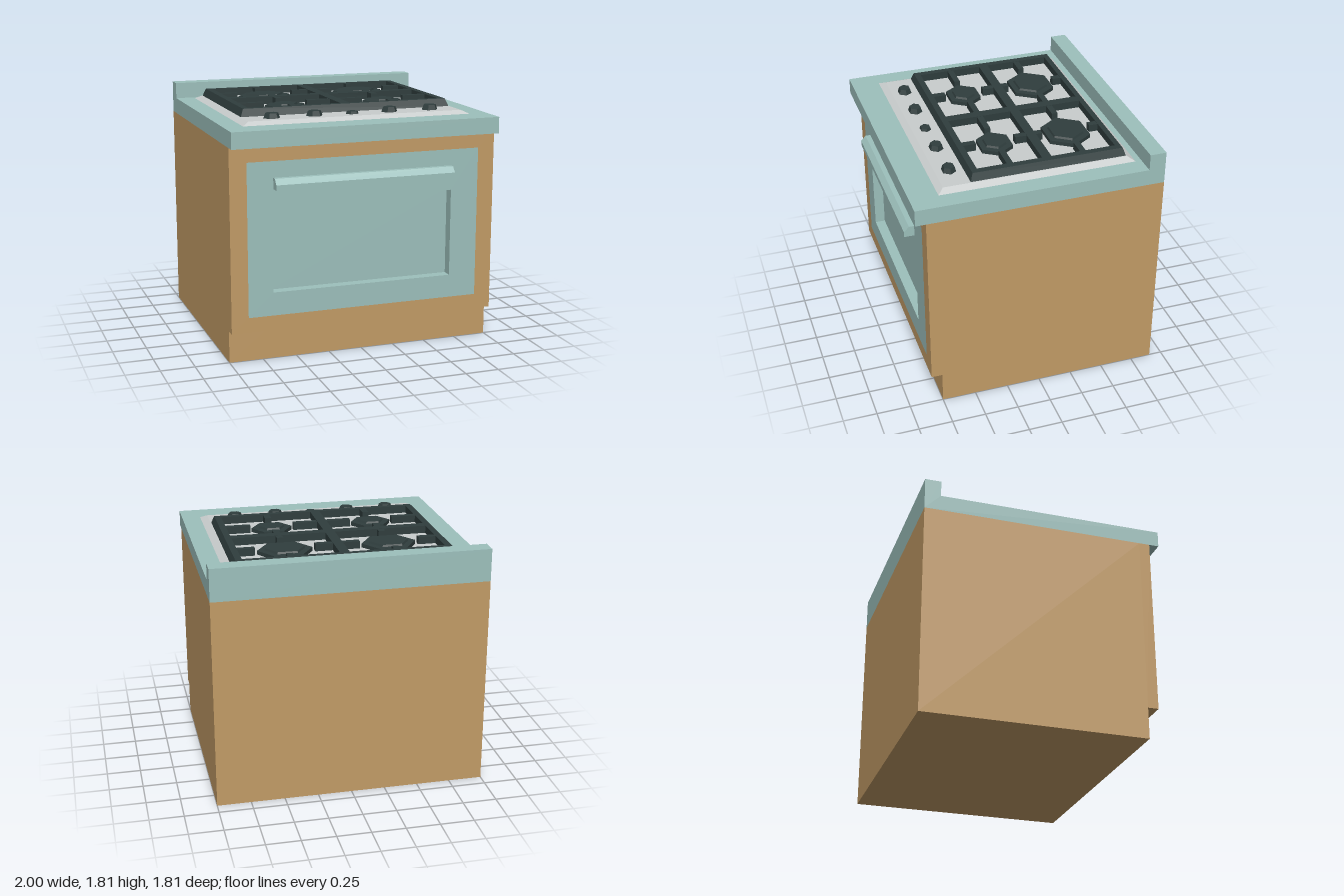
import * as THREE from 'three';

const material = (name, color) => {
  const m = new THREE.MeshStandardMaterial({ color });
  m.name = name;
  return m;
};

export function createModel() {
  const teal = material('teal enamel', 0x9dc0bc);
  const wood = material('wood', 0xc29b66);
  const steel = material('light steel', 0xc9cdcd);
  const iron = material('dark iron', 0x2f3d3d);
  const group = new THREE.Group();

  const add = (name, geometry, mat) => {
    const mesh = new THREE.Mesh(geometry, mat);
    mesh.name = name;
    group.add(mesh);
    return mesh;
  };
  // Box given by its limits
  const box = (name, mat, x0, x1, y0, y1, z0, z1) =>
    add(name, new THREE.BoxGeometry(x1 - x0, y1 - y0, z1 - z0), mat)
      .position.set((x0 + x1) / 2, (y0 + y1) / 2, (z0 + z1) / 2);
  const rect = (x0, x1, y0, y1) => [[x0, y0], [x1, y0], [x1, y1], [x0, y1]]
    .map(([x, y]) => new THREE.Vector2(x, y));
  const plate = (outer, holes, depth) => {
    const shape = new THREE.Shape(outer);
    holes.forEach(h => shape.holes.push(new THREE.Path(h)));
    return new THREE.ExtrudeGeometry(shape, { depth, bevelEnabled: false });
  };
  // Side profile of [z, y] points, swept from x0 to x1
  const sweep = (profile, x0, x1) =>
    plate(profile.map(([z, y]) => new THREE.Vector2(z, y)), [], x1 - x0)
      .rotateY(-Math.PI / 2).translate(x1, 0, 0);
  // Six-sided tapered cap, slightly squashed in depth
  const hex = (name, x, z, y0, y1, bottom, top) => {
    const g = new THREE.CylinderGeometry(top, bottom, y1 - y0, 6, 1, false, Math.PI / 2)
      .scale(1, 1, 0.87).toNonIndexed();
    g.computeVertexNormals();
    add(name, g, iron).position.set(x, (y0 + y1) / 2, z);
  };

  // Cabinet with toe kick, and a front frame around the oven door
  box('cabinetBody', wood, -1, 1, 0, 1.57, -0.905, 0.75);
  const door = rect(-0.875, 0.875, 0.345, 1.46);
  add('cabinetFront', plate(rect(-1, 1, 0.235, 1.57), [door], 0.08).translate(0, 0, 0.75), wood);

  // Oven door with a recessed panel and a chamfered handle
  add('ovenDoor', plate(door, [rect(-0.69, 0.665, 0.515, 1.16)], 0.08).translate(0, 0, 0.75), teal);
  box('ovenDoorPanel', teal, -0.69, 0.665, 0.515, 1.16, 0.748, 0.754);
  add('ovenHandle', sweep([[0.83, 1.263], [0.905, 1.263], [0.905, 1.303], [0.868, 1.342], [0.83, 1.342]],
    -0.685, 0.66), teal);

  // Worktop and upstand in one profile
  add('worktop', sweep([[-0.905, 1.57], [0.905, 1.57], [0.905, 1.69], [-0.785, 1.69],
    [-0.785, 1.81], [-0.905, 1.81]], -1, 1), teal);

  // Hob plate with sloped rim
  const hob = new THREE.BoxGeometry(1.72, 0.025, 1.44).toNonIndexed();
  const hp = hob.attributes.position;
  for (let i = 0; i < hp.count; i++) {
    if (hp.getY(i) > 0) {
      hp.setX(i, hp.getX(i) - Math.sign(hp.getX(i)) * 0.05);
      hp.setZ(i, hp.getZ(i) - Math.sign(hp.getZ(i)) * 0.045);
    }
  }
  hob.computeVertexNormals();
  add('hobPlate', hob, steel).position.set(0, 1.7025, -0.02);

  // Grate frame: four openings, outer sides leaning inwards (shape y is -z)
  const openings = [];
  for (const [x0, x1] of [[-0.738, -0.039], [0.034, 0.733]])
    for (const [y0, y1] of [[-0.39, 0.085], [0.155, 0.63]]) openings.push(rect(x0, x1, y0, y1));
  const grate = plate(rect(-0.808, 0.803, -0.455, 0.69), openings, 0.057)
    .rotateX(-Math.PI / 2);
  const gp = grate.attributes.position;
  for (let i = 0; i < gp.count; i++) {
    if (gp.getY(i) > 0.03 && Math.abs(gp.getX(i)) > 0.78) {
      gp.setX(i, gp.getX(i) - Math.sign(gp.getX(i)) * 0.022);
      gp.setZ(i, gp.getZ(i) + (gp.getZ(i) > 0 ? -0.02 : 0.02));
    }
  }
  grate.computeVertexNormals();
  add('grateFrame', grate.translate(0, 1.714, 0), iron);

  // Burners and the grate fingers pointing at them
  for (const side of [-1, 1]) {
    const cx = side * 0.385 - 0.002;
    const x0 = cx - 0.351, x1 = cx + 0.348;
    const burners = [
      { z: -0.39, r: 0.203, cap: 0.142, gap: 0.22, back: [-0.63, -0.565], front: [-0.205, -0.155] },
      { z: 0.15, r: 0.153, cap: 0.093, gap: 0.165, back: [-0.085, 0], front: [0.295, 0.39] },
    ];
    for (const b of burners) {
      hex('burnerBase', cx, b.z, 1.712, 1.743, b.r, b.r);
      hex('burnerCap', cx, b.z, 1.743, 1.757, b.cap + 0.008, b.cap);
      for (const [z0, z1] of [b.back, b.front])
        box('grateFinger', iron, cx - 0.025, cx + 0.025, 1.714, 1.769, z0, z1);
      for (const [a, c] of [[x0, cx - b.gap], [cx + b.gap, x1]])
        box('grateFinger', iron, a, c, 1.714, 1.769, b.z - 0.022, b.z + 0.022);
    }
  }

  // Control knobs, the middle one smaller
  for (const x of [-0.61, -0.292, 0.284, 0.604]) hex('knob', x, 0.555, 1.712, 1.752, 0.063, 0.048);
  hex('middleKnob', -0.004, 0.555, 1.712, 1.734, 0.05, 0.042);

  return group;
}
